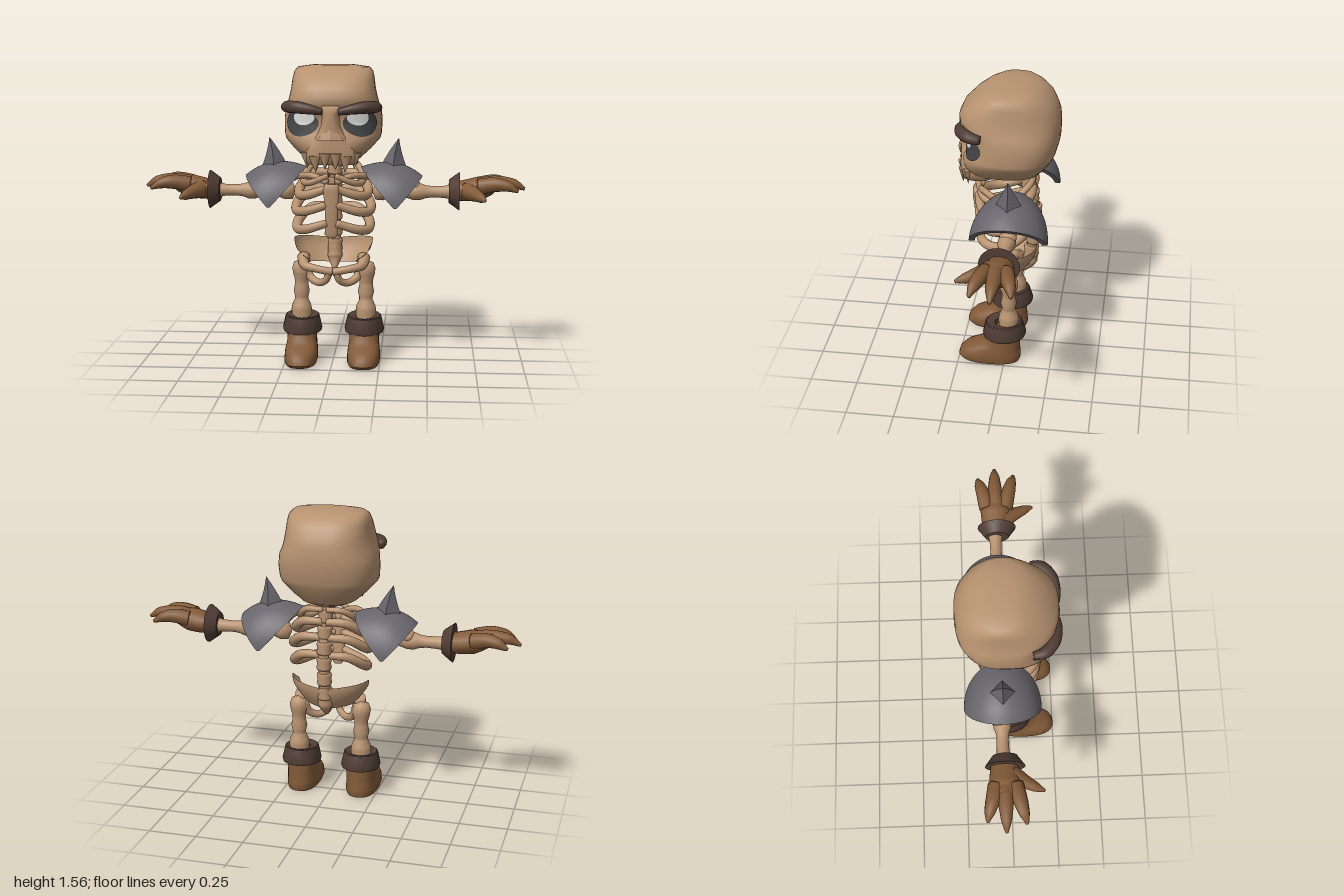
import * as THREE from 'three';
import { toCreasedNormals } from 'three/addons/utils/BufferGeometryUtils.js';

const V = (x, y, z) => new THREE.Vector3(x, y, z);
const mat = (name, color, side = THREE.FrontSide) => {
  const m = new THREE.MeshStandardMaterial({ color, side });
  m.name = name;
  return m;
};

// Skin a list of closed sections (equal point counts), with fan caps
function skin(sections, cap = true) {
  const n = sections[0].length, pts = sections.flat(), idx = [];
  for (let i = 0; i < sections.length - 1; i++) for (let j = 0; j < n; j++) {
    const a = i * n + j, b = i * n + (j + 1) % n;
    idx.push(a, a + n, b, a + n, b + n, b);
  }
  if (cap) [0, sections.length - 1].forEach((s, end) => {
    const c = pts.length;
    pts.push(sections[s].reduce((sum, p) => sum.add(p), V(0, 0, 0)).divideScalar(n));
    for (let j = 0; j < n; j++) {
      const a = s * n + j, b = s * n + (j + 1) % n;
      if (end) idx.push(c, b, a); else idx.push(c, a, b);
    }
  });
  const g = new THREE.BufferGeometry().setFromPoints(pts);
  g.setIndex(idx);
  g.computeVertexNormals();
  return g;
}

// Superellipse ring point; ring = [y, halfWidth, zBack, zFront]
const pw = (v, e) => Math.sign(v) * Math.abs(v) ** (2 / e);
const ringPoint = ([y, hx, zb, zf], a, e, grow = 0) => V(
  (hx + grow) * pw(Math.cos(a), e), y, (zb + zf) / 2 + ((zf - zb) / 2 + grow) * pw(Math.sin(a), e));
const loft = (rings, e, n = 48) => skin(rings.map(r =>
  Array.from({ length: n }, (_, j) => ringPoint(r, j / n * Math.PI * 2, e))));

// Tapered tube through points with matching radii
function limb(points, radii, steps = 20, n = 12) {
  const curve = new THREE.CatmullRomCurve3(points);
  const { normals, binormals } = curve.computeFrenetFrames(steps);
  return skin(Array.from({ length: steps + 1 }, (_, i) => {
    const t = i / steps, f = t * (radii.length - 1), k = Math.min(Math.floor(f), radii.length - 2);
    const r = THREE.MathUtils.lerp(radii[k], radii[k + 1], f - k), c = curve.getPointAt(t);
    return Array.from({ length: n }, (_, j) => {
      const a = j / n * Math.PI * 2;
      return c.clone().addScaledVector(normals[i], r * Math.cos(a)).addScaledVector(binormals[i], -r * Math.sin(a));
    });
  }));
}

const lathe = pts => new THREE.LatheGeometry(pts.map(p => new THREE.Vector2(...p)), 20);

// Mirror a geometry across x, keeping faces outward
function mirrored(geo) {
  const g = geo.index ? geo.toNonIndexed() : geo.clone();
  g.scale(-1, 1, 1);
  for (const key of ['position', 'normal']) {
    const arr = g.attributes[key].array;
    for (let i = 0; i < arr.length; i += 9) for (let k = 0; k < 3; k++)
      [arr[i + k], arr[i + 6 + k]] = [arr[i + 6 + k], arr[i + k]];
  }
  return g;
}

export function createModel() {
  const model = new THREE.Group();
  const bone = mat('bone', 0xb79270), leather = mat('leather', 0x825a38), trim = mat('dark leather', 0x513d35);
  const steel = mat('steel', 0x67656b), socket = mat('eye socket', 0x434547, THREE.DoubleSide);
  const white = mat('eye white', 0xe2e2e0, THREE.DoubleSide), boneShell = mat('thin bone', 0xb79270, THREE.DoubleSide);
  const add = (name, geo, m) => {
    const mesh = new THREE.Mesh(geo, m);
    mesh.name = name;
    model.add(mesh);
  };
  const both = (name, geo, m) => {
    add(name + 'Left', geo, m);
    add(name + 'Right', mirrored(geo), m);
  };

  // Skull, with the face set back at eye height
  const E = 2.6, skull = [
    [1.07, .1, -.12, .17], [1.09, .145, -.165, .215], [1.14, .2, -.205, .232], [1.19, .245, -.235, .232],
    [1.215, .252, -.245, .212], [1.28, .255, -.262, .203], [1.335, .25, -.265, .21], [1.365, .238, -.265, .243],
    [1.41, .226, -.262, .246], [1.45, .218, -.25, .228], [1.5, .212, -.225, .18],
    [1.535, .204, -.185, .13], [1.555, .185, -.145, .085], [1.566, .11, -.09, .04]];
  add('skull', loft(skull, E), bone);
  add('upperJaw', loft([[1.07, .135, .06, .238], [1.12, .14, .06, .247], [1.17, .12, .06, .245],
    [1.22, .075, .06, .247], [1.27, .05, .06, .25], [1.33, .045, .06, .255], [1.37, .07, .06, .25]], 2.8, 32), bone);
  add('nose', toCreasedNormals(new THREE.ConeGeometry(.07, .08, 4).scale(1, 1, .3).translate(0, 1.235, .242), .5), bone);
  [[.026, .238, 1.045], [.075, .228, 1.03], [.12, .195, 1.045]].forEach(([x, z, y], i) => both('tooth' + i,
    new THREE.ConeGeometry(.035, .085, 8).rotateX(Math.PI).scale(1, 1, .65).translate(x, y + .0425, z), bone));

  // Eyes: thin patches that follow the skull surface
  const onSkull = (a, y, grow) => {
    const k = skull.findIndex(r => r[0] > y), lo = skull[k - 1], hi = skull[k];
    const t = (y - lo[0]) / (hi[0] - lo[0]);
    return ringPoint(lo.map((v, i) => v + (hi[i] - v) * t), a, E, grow);
  };
  const patch = (a0, ra, y0, ry, grow) => skin([1, .8, .6, .4, .2, .01].map(s =>
    Array.from({ length: 32 }, (_, j) => {
      const q = -j / 32 * Math.PI * 2;
      return onSkull(a0 + ra * s * Math.cos(q), y0 + ry * s * Math.sin(q), grow);
    })), false);
  both('eyeSocket', patch(.98, .44, 1.278, .068, .005), socket);
  both('eye', patch(1.1, .25, 1.308, .04, .009), white);
  both('brow', limb([V(.04, 1.338, .238), V(.1, 1.35, .237), V(.175, 1.36, .215), V(.225, 1.36, .17), V(.236, 1.353, .115)],
    [.016, .025, .031, .031, .022]), trim);

  // Spine
  const spine = new THREE.CatmullRomCurve3([V(0, 1.1, -.09), V(0, .98, -.11), V(0, .85, -.135), V(0, .72, -.135), V(0, .6, -.12)]);
  add('spineCore', new THREE.TubeGeometry(spine, 24, .03, 10), bone);
  for (let i = 0; i < 7; i++) {
    const p = spine.getPointAt(i / 6);
    add('vertebra' + i, lathe([[0, -.034], [.036, -.032], [.04, -.022], [.036, 0], [.04, .022], [.036, .032], [0, .034]])
      .translate(p.x, p.y, p.z), bone);
  }

  // Ribs, breastbone and collarbones
  [[.965, .15], [.9, .175], [.815, .19], [.72, .185]].forEach(([y, w], i) => both('rib' + i,
    limb([V(.01, y + .09, -.13), V(w * .65, y + .085, -.12), V(w, y + .03, -.05), V(w, y - .005, .05),
      V(w * .75, y, .12), V(.02, y + .04, .16)], [.02, .024, .026, .026, .024, .02].map(r => i ? r : r * .7), 28), bone));
  add('breastbone', loft([[.68, .02, .13, .155], [.7, .035, .132, .17], [.82, .033, .14, .178],
    [.93, .042, .145, .19], [.965, .035, .15, .188]], 3, 24), bone);
  both('collarbone', limb([V(.02, .97, .15), V(.1, 1.0, .12), V(.18, .99, .04), V(.26, .96, -.04)], [.018, .016, .018, .028]), bone);

  // Pelvis: flared bowl open to the front, with lower loops
  const bowl = new THREE.BufferGeometry(), pos = [], idx = [], U = 32, W = 8;
  for (let i = 0; i <= U; i++) for (let j = 0; j <= W; j++) {
    const a = (i / U * 2 - 1) * 2.0, t = j / W, side = Math.abs(Math.sin(a)), front = Math.max(0, -Math.cos(a));
    const flare = .13 + .078 * Math.sin(t * Math.PI / 2), low = .505 + .015 * side + .05 * front;
    pos.push(flare * Math.sin(a), low + t * (.63 + .027 * side - .1 * front - low), -.01 - flare * .68 * Math.cos(a));
    if (i < U && j < W) {
      const k = i * (W + 1) + j;
      idx.push(k, k + 1, k + W + 1, k + 1, k + W + 2, k + W + 1);
    }
  }
  bowl.setAttribute('position', new THREE.Float32BufferAttribute(pos, 3));
  bowl.setIndex(idx);
  bowl.computeVertexNormals();
  add('pelvisBowl', bowl, boneShell);
  add('tailbone', limb([V(0, .61, -.12), V(0, .53, -.11), V(0, .475, -.08)], [.035, .04, .012]), bone);
  both('pelvisUpperLoop', limb([V(.16, .55, -.02), V(.15, .515, .04), V(.08, .5, .07), V(0, .485, .07)], [.035, .024, .02, .022]), bone);
  both('pelvisLowerLoop', limb([V(.02, .485, .07), V(.035, .44, .06), V(.075, .42, .03), V(.12, .44, 0), V(.15, .5, -.02)],
    [.02, .018, .02, .022, .03]), bone);

  // Legs and boots
  both('legBone', lathe([[.05, .18], [.055, .265], [.05, .29], [.036, .32], [.036, .335], [.043, .365], [.036, .4],
    [.036, .425], [.046, .46], [.05, .49], [.04, .52], [0, .538]]).translate(.172, 0, -.02), bone);
  const boot = [[.003, .08, -.078, .235], [.02, .086, -.085, .253], [.05, .086, -.083, .245], [.08, .084, -.08, .215],
    [.1, .08, -.08, .165], [.12, .078, -.08, .13], [.15, .078, -.08, .112], [.2, .078, -.08, .1]];
  both('boot', toCreasedNormals(loft(boot, 2.5, 32), .8).translate(.165, 0, 0), leather);
  both('bootCuff', toCreasedNormals(lathe([[.06, .16], [.113, .155], [.117, .17], [.1, .238], [.094, .242], [.05, .232], [.05, .18]])
    .scale(.9, 1, 1).rotateX(.05).translate(.165, .003, -.005), .7), trim);

  // Arms, laid along x
  both('armBone', lathe([[0, .2], [.045, .22], [.048, .26], [.032, .3], [.03, .37], [.045, .42], [.045, .455], [.034, .485],
    [.03, .52], [.032, .58], [.045, .64]]).rotateZ(-Math.PI / 2).translate(0, .9, -.045), bone);
  both('elbowKnob', new THREE.SphereGeometry(.036, 20, 14).scale(1, .9, 1.2).translate(.425, .925, -.05), bone);
  both('gloveCuff', toCreasedNormals(new THREE.CylinderGeometry(.102, .062, .055, 24).rotateZ(-Math.PI / 2)
    .translate(.632, .905, -.037), .6), trim);

  // Gloves
  both('palm', limb([V(.64, .905, -.04), V(.7, .91, -.04), V(.77, .925, -.04), V(.84, .945, -.038), V(.875, .945, -.037)],
    [.06, .068, .072, .056, .02]).translate(0, -.91, .04).scale(1, .85, 1.12).translate(0, .91, -.04), leather);
  [[.945, -.13, -.085], [1.0, -.04, -.04], [.96, .06, .01]].forEach(([x, tip, root], i) => both('finger' + i,
    limb([V(.76, .935, root), V(.84, .95, root + (tip - root) * .4), V(x - .055, .945, root + (tip - root) * .75),
      V(x - .012, .925, tip), V(x, .92, tip)], [.042, .04, .036, .027, .008]), leather));
  both('thumb', limb([V(.7, .91, -.01), V(.74, .9, .06), V(.77, .89, .12), V(.783, .885, .15), V(.785, .882, .157)],
    [.05, .042, .033, .025, .008]), leather);

  // Shoulder guards: curved shells that narrow towards the front and back tips
  const inner = V(.145, 1.03, 0), crest = V(.33, 1.1, 0), outer = V(.465, .985, 0), tip = V(.327, .83, 0);
  const arc = new THREE.QuadraticBezierCurve3(inner, crest, outer).getPoints(14);
  const shell = Array.from({ length: 33 }, (_, i) => {
    const a = (i / 32 * 2 - 1) * 1.53;
    const layer = k => arc.map(p => p.clone().sub(tip).multiplyScalar(Math.cos(a) * k).add(tip)
      .add(V(0, 0, -.038 + .2 * k * Math.sin(a))));
    return [...layer(1), ...layer(.85).reverse()];
  });
  both('shoulderGuard', toCreasedNormals(skin(shell), .7), steel);
  const spike = new THREE.ConeGeometry(.08, .18, 4, 5).translate(0, .09, 0);
  const sp = spike.attributes.position;
  for (let i = 0; i < sp.count; i++) sp.setX(i, sp.getX(i) + .9 * sp.getY(i) ** 2);
  both('shoulderSpike', toCreasedNormals(spike.translate(.312, 1.005, -.038), .5), steel);

  return model;
}
